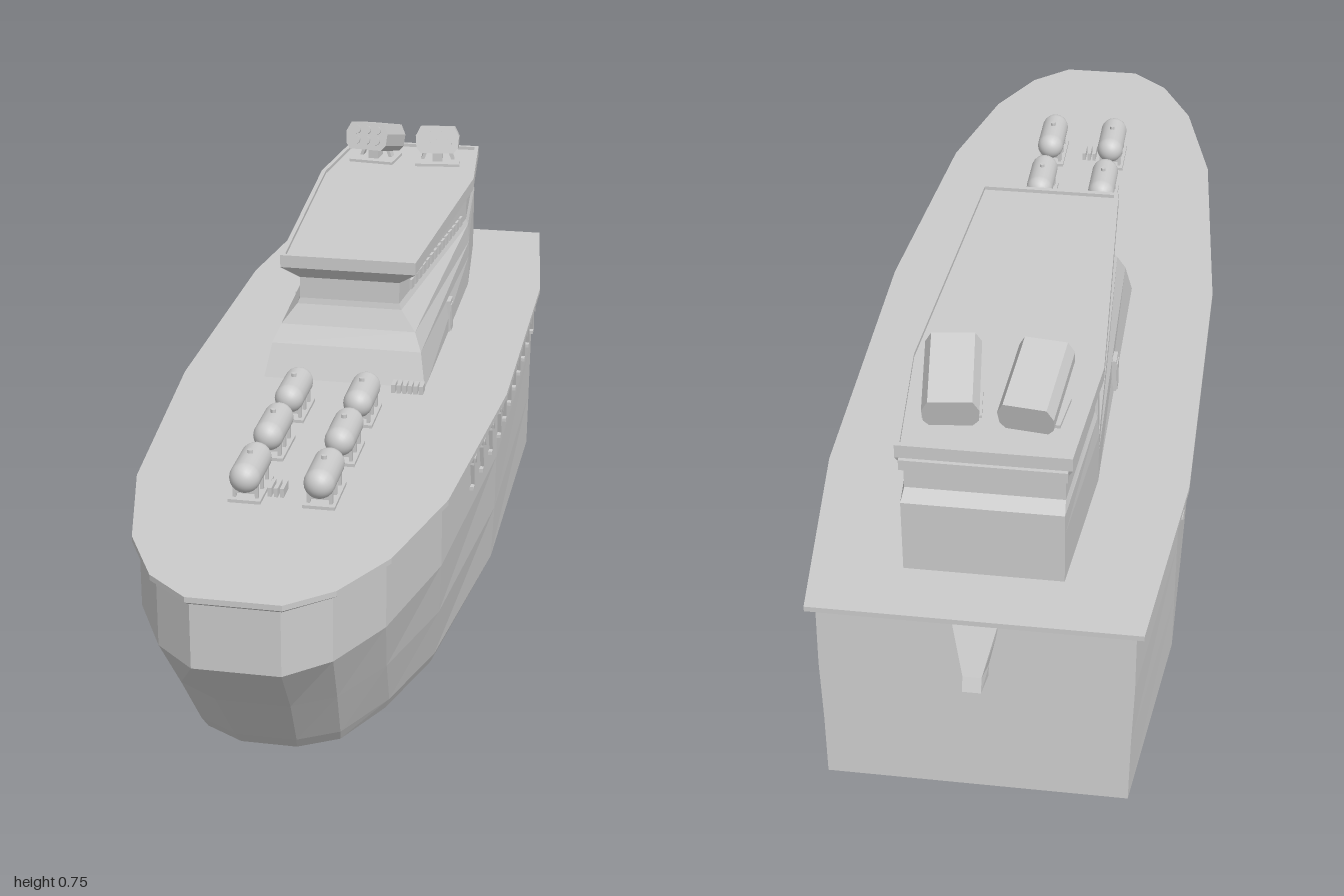
import * as THREE from 'three';

const flat = new THREE.MeshStandardMaterial({ color: 0xcccccc, flatShading: true, side: THREE.DoubleSide });
const smooth = new THREE.MeshStandardMaterial({ color: 0xcccccc });

function add(parent, name, geometry, x = 0, y = 0, z = 0, material = flat) {
  const m = new THREE.Mesh(geometry, material);
  m.name = name;
  m.position.set(x, y, z);
  parent.add(m);
  return m;
}
const box = (p, name, w, h, d, x, y, z) => add(p, name, new THREE.BoxGeometry(w, h, d), x, y, z);

// Stack of levels [y, halfOutline]; each half outline runs bow to stern as [x, z] and is mirrored
function loft(levels) {
  const rings = levels.map(([y, half]) => [
    ...half.map(([x, z]) => [x, y, z]),
    ...[...half].reverse().map(([x, z]) => [-x, y, z]),
  ]);
  const n = rings[0].length, pos = [];
  const tri = (...pts) => pts.forEach((p) => pos.push(...p));
  for (let k = 0; k < rings.length - 1; k++) {
    const a = rings[k], b = rings[k + 1];
    for (let i = 0; i < n; i++) {
      const j = (i + 1) % n;
      tri(a[i], a[j], b[j]);
      tri(a[i], b[j], b[i]);
    }
  }
  const bottom = rings[0], top = rings[rings.length - 1];
  for (let i = 1; i < n - 1; i++) {
    tri(bottom[0], bottom[i + 1], bottom[i]);
    tri(top[0], top[i], top[i + 1]);
  }
  const g = new THREE.BufferGeometry();
  g.setAttribute('position', new THREE.Float32BufferAttribute(pos, 3));
  g.computeVertexNormals();
  return g;
}

// Linear lookup of half width at z on an outline
function widthAt(half, z) {
  for (let i = 0; i < half.length - 1; i++) {
    const [x0, z0] = half[i], [x1, z1] = half[i + 1];
    if (z <= z0 && z >= z1) return x0 + ((x1 - x0) * (z0 - z)) / (z0 - z1);
  }
  return 0;
}

const hullTop = [[0.075, 0.985], [0.147, 0.92], [0.212, 0.79], [0.27, 0.55], [0.308, 0.06], [0.308, -0.57], [0.268, -0.945]];
const deckEdge = [[0.08, 0.995], [0.155, 0.93], [0.222, 0.8], [0.282, 0.56], [0.325, 0.06], [0.325, -0.57], [0.282, -0.965]];
const windowBand = [[0.1, 0], [0.155, -0.57], [0.135, -0.82]];

function buildHull(ship) {
  add(ship, 'hull', loft([
    [0, [[0.05, 0.76], [0.12, 0.72], [0.18, 0.6], [0.235, 0.42], [0.285, 0], [0.29, -0.57], [0.245, -0.91]]],
    [0.03, [[0.055, 0.785], [0.125, 0.745], [0.19, 0.62], [0.245, 0.44], [0.298, 0.02], [0.306, -0.57], [0.262, -0.965]]],
    [0.15, [[0.065, 0.875], [0.136, 0.83], [0.2, 0.71], [0.26, 0.5], [0.305, 0.04], [0.307, -0.57], [0.264, -0.958]]],
    [0.27, hullTop.map(([x, z], i) => [x, i === 6 ? -0.952 : z])],
    [0.392, hullTop],
  ]));
  // Overhanging deck with a bevelled underside
  add(ship, 'deck', loft([
    [0.388, deckEdge.map(([x, z]) => [x * 0.965, z * 0.99])],
    [0.395, deckEdge],
    [0.405, deckEdge],
  ]));
  // Tapered bracket on the stern
  const bracket = new THREE.CylinderGeometry(1, 1, 1, 4, 1);
  bracket.dispose();
  add(ship, 'sternBracket', loft([
    [0.275, [[0.016, -0.995], [0.022, -0.95]].reverse()],
    [0.3, [[0.024, -0.945], [0.016, -0.985]]],
    [0.39, [[0.045, -0.93], [0.04, -0.945]]],
  ]));
  // Hanging hooks along both sides
  for (const s of [-1, 1]) {
    for (let i = 0; i < 11; i++) {
      const z = 0.32 - i * 0.084;
      const hook = new THREE.Group();
      hook.name = 'sideHook';
      hook.position.set(s * (widthAt(hullTop, z) + 0.003), 0.39, z);
      box(hook, 'hookArm', 0.01, 0.08, 0.008, 0, -0.038, -0.012).rotation.x = 0.3;
      box(hook, 'hookFoot', 0.01, 0.007, 0.022, 0, -0.075, -0.016);
      box(hook, 'hookBrace', 0.01, 0.04, 0.007, 0, -0.02, -0.045).rotation.x = 0.3;
      box(hook, 'hookRail', 0.01, 0.007, 0.045, 0, -0.022, -0.025);
      ship.add(hook);
    }
  }
}

function buildSuperstructure(ship) {
  const roof = [[0.135, 0.02], [0.17, -0.57], [0.147, -0.83]];
  const inner = [[0.127, 0.01], [0.161, -0.57], [0.139, -0.82]];
  add(ship, 'superstructure', loft([
    [0.4, [[0.163, 0.06], [0.163, -0.57], [0.137, -0.848]]],
    [0.47, [[0.15, 0.034], [0.163, -0.57], [0.137, -0.848]]],
    [0.505, [[0.135, 0.016], [0.163, -0.57], [0.137, -0.848]]],
    [0.545, [[0.105, 0.002], [0.16, -0.57], [0.137, -0.848]]],
    [0.557, windowBand],
    [0.6, windowBand],
    [0.625, roof],
    [0.65, roof],
    [0.65, inner],
    [0.643, inner],
  ]));
  box(ship, 'rearLedge', 0.28, 0.02, 0.03, 0, 0.615, -0.822);
  for (const s of [-1, 1]) {
    // Window row in the recessed band
    for (let i = 0; i < 14; i++) {
      const z = -0.09 - i * 0.032;
      box(ship, 'window', 0.008, 0.02, 0.02, s * (widthAt(windowBand, z) + 0.001), 0.57, z).rotation.y = -s * 0.096;
    }
    // Door with a raised frame
    box(ship, 'doorFrame', 0.008, 0.068, 0.034, s * 0.162, 0.438, -0.28);
    box(ship, 'door', 0.012, 0.058, 0.024, s * 0.162, 0.434, -0.28);
  }
}

function buildLauncher(s) {
  const g = new THREE.Group();
  g.name = 'launcher';
  // Six-sided casing
  const shape = new THREE.Shape([[0.037, 0.03], [-0.037, 0.03], [-0.048, 0.008], [-0.046, -0.018], [-0.036, -0.03],
    [0.036, -0.03], [0.046, -0.018], [0.048, 0.008]].map(([x, y]) => new THREE.Vector2(x, y)));
  const body = new THREE.Group();
  body.name = 'launcherBody';
  body.rotation.x = -0.26;
  body.position.set(0, 0.052, 0);
  add(body, 'casing', new THREE.ExtrudeGeometry(shape, { depth: 0.15, bevelEnabled: false }), 0, 0, -0.075);
  // Two rows of three tubes
  for (let i = 0; i < 6; i++) {
    const x = ((i % 3) - 1) * 0.023, y = i < 3 ? -0.009 : 0.014;
    add(body, 'tube', new THREE.CylinderGeometry(0.0095, 0.0095, 0.008, 14), x, y, 0.076).rotation.x = Math.PI / 2;
  }
  g.add(body);
  // Swivel mount
  box(g, 'mountPlate', 0.1, 0.006, 0.08, 0, 0.003, 0);
  box(g, 'mountPost', 0.022, 0.035, 0.04, 0, 0.018, 0);
  for (const t of [-1, 1]) box(g, 'mountStrut', 0.007, 0.03, 0.02, t * 0.03, 0.016, -0.01).rotation.z = t * 0.35;
  g.position.set(s * 0.071, 0.646, -0.7);
  g.rotation.y = s * 0.12;
  return g;
}

function buildTank(x, z) {
  const g = new THREE.Group();
  g.name = 'tank';
  g.position.set(x, 0.405, z);
  add(g, 'tankShell', new THREE.CapsuleGeometry(0.028, 0.084, 8, 20), 0, 0.045, 0, smooth).rotation.x = Math.PI / 2;
  add(g, 'tankValve', new THREE.CylinderGeometry(0.005, 0.005, 0.01, 10), 0, 0.074, 0);
  box(g, 'tankBase', 0.058, 0.006, 0.11, 0, 0.003, 0);
  // Cradle legs
  for (const dz of [-0.04, 0, 0.04]) {
    box(g, 'cradle', 0.04, 0.008, 0.008, 0, 0.018, dz);
    for (const dx of [-0.02, 0.02]) box(g, 'leg', 0.006, 0.034, 0.008, dx, 0.02, dz);
  }
  return g;
}

export function createModel() {
  const ship = new THREE.Group();
  ship.name = 'ship';
  buildHull(ship);
  buildSuperstructure(ship);
  for (const s of [-1, 1]) {
    ship.add(buildLauncher(s));
    for (const z of [0.585, 0.4, 0.22]) ship.add(buildTank(s * 0.066, z));
  }
  // Small deck fittings ahead of the superstructure and between the front tanks
  for (let i = 0; i < 6; i++) {
    box(ship, 'deckFitting', 0.008, 0.018, 0.03, 0.105 + i * 0.011, 0.413, 0.08);
    if (i < 3) box(ship, 'deckFitting', 0.007, 0.018, 0.04, -0.028 + i * 0.011, 0.413, 0.585);
  }
  return ship;
}
